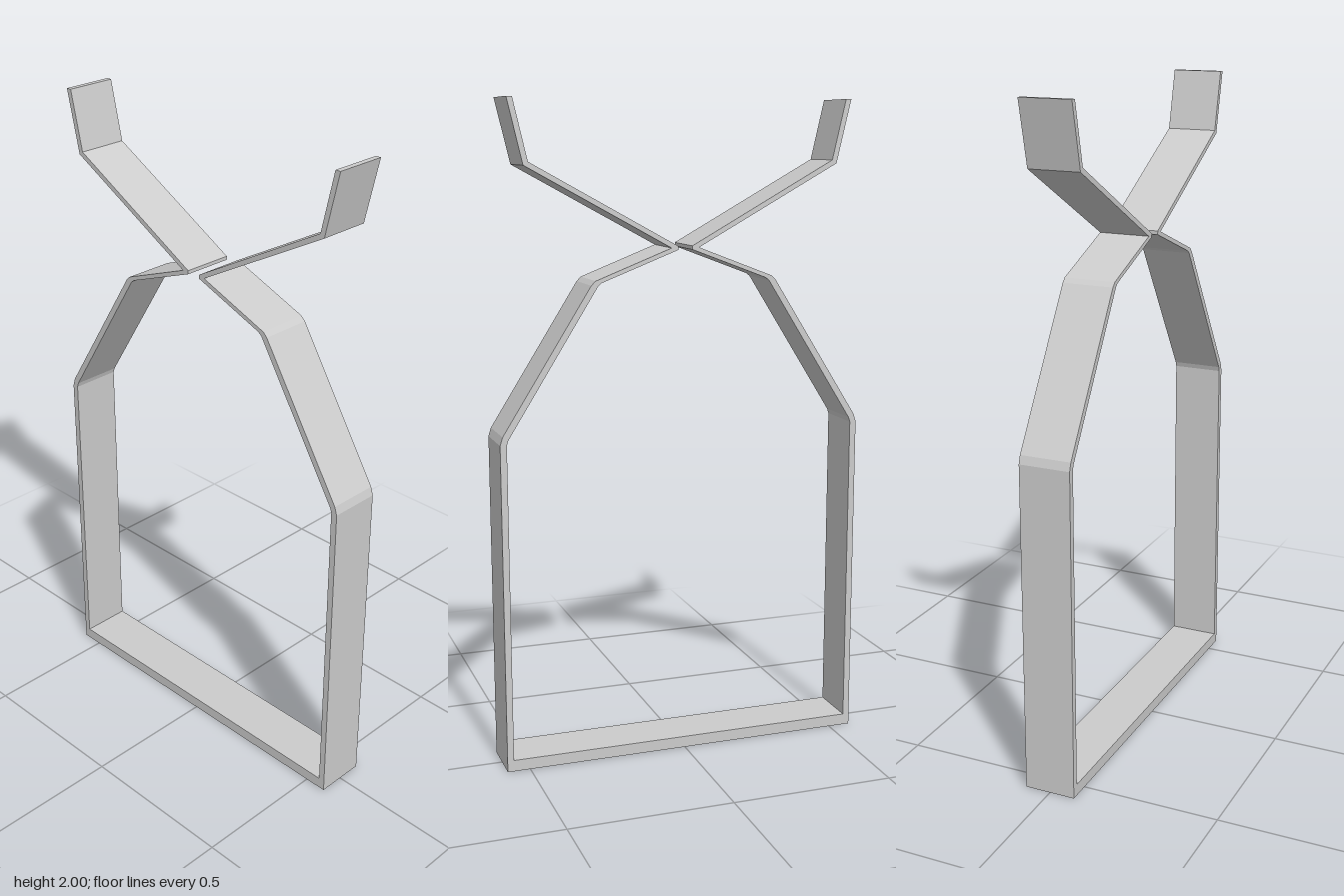
import * as THREE from 'three';

export function createModel() {
  const group = new THREE.Group();
  const material = new THREE.MeshStandardMaterial({ color: 0xcccccc, flatShading: true });
  const depth = 0.157;

  // Left half of the bent strip: outer face going up, inner face coming down
  const outer = [
    [0.57, 0], [0.57, 1.01], [0.562, 1.035], [0.29, 1.465], [0.277, 1.478],
    [0.043, 1.568], [0.485, 1.81], [0.53, 2],
  ];
  const inner = [
    [0.513, 2], [0.471, 1.82], [0.022, 1.573], [0.022, 1.562], [0.258, 1.472],
    [0.269, 1.463], [0.545, 1.025], [0.55, 1.01], [0.55, 0.035],
  ];
  const half = [...outer, ...inner];

  // The right half mirrors the left, joined across the base bar
  const mirrored = half.map(([x, y]) => [-x, y]).reverse();
  const outline = [...half, ...mirrored].map(([x, y]) => new THREE.Vector2(x, y));

  const geometry = new THREE.ExtrudeGeometry(new THREE.Shape(outline), {
    depth, bevelEnabled: false,
  });
  geometry.translate(0, 0, -depth / 2);

  const clip = new THREE.Mesh(geometry, material);
  clip.name = 'bentStripClip';
  group.add(clip);
  return group;
}
